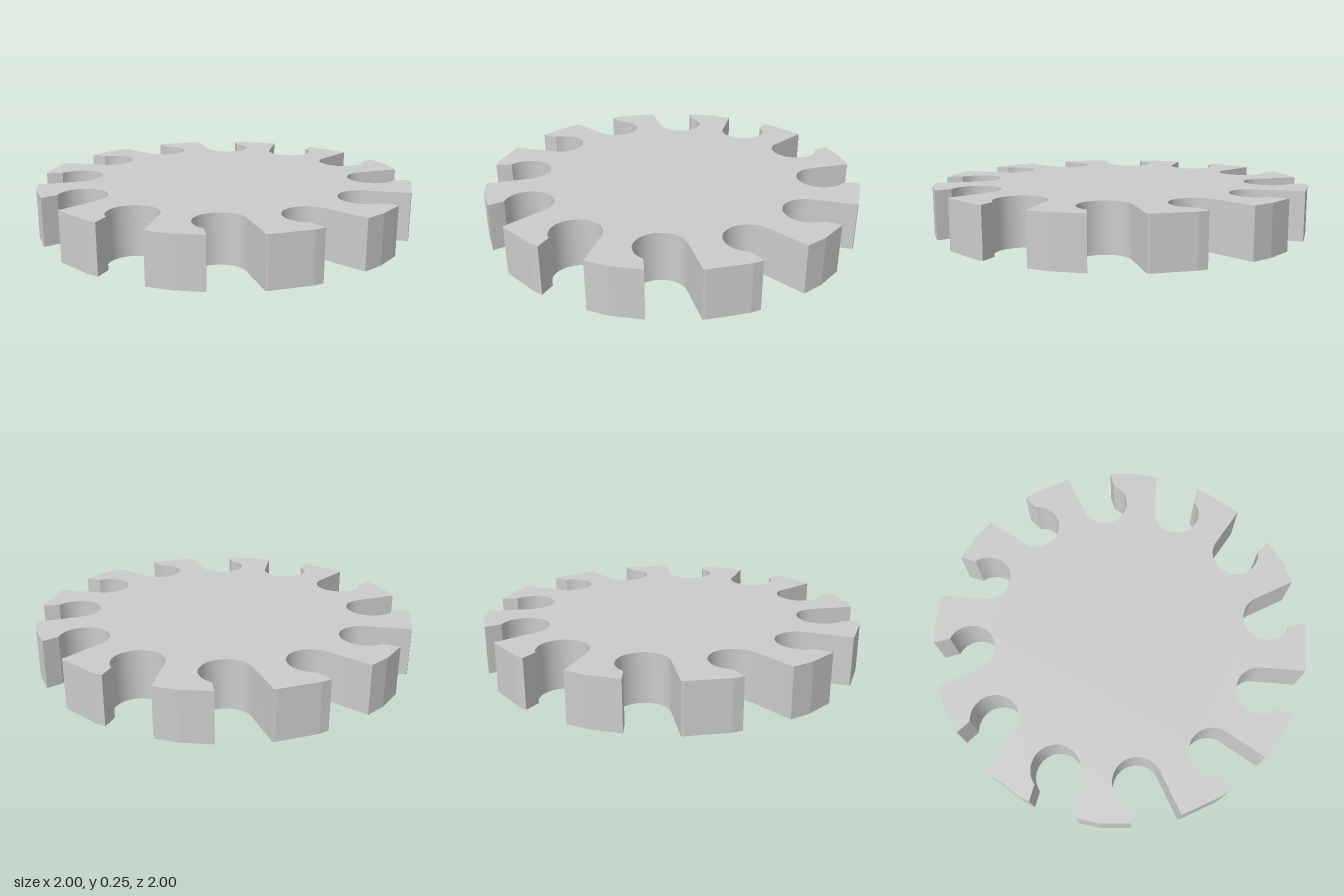
import * as THREE from 'three';
import { toCreasedNormals } from 'three/addons/utils/BufferGeometryUtils.js';

const RAD = Math.PI / 180;
const SLOTS = 12, STEP = 360 / SLOTS;
const HEIGHT = 0.255;
const SLOT_DIST = 0.803, SLOT_R = 0.127;   // round pocket of each slot
const RIM_R = 1.003, FACET = 12;           // rim is a 30-sided polygon with a corner at 6 degrees

// Point on the faceted rim, angle in degrees clockwise from the back
function rimPoint(a) {
  const fromMiddle = ((a % FACET) + FACET) % FACET - 0; // edge middles lie on multiples of 12
  const d = Math.min(fromMiddle, FACET - fromMiddle);
  const r = RIM_R * Math.cos(FACET / 2 * RAD) / Math.cos(d * RAD);
  return new THREE.Vector2(r * Math.sin(a * RAD), r * Math.cos(a * RAD));
}

export function createModel() {
  const group = new THREE.Group();
  group.name = 'slottedDisc';

  const points = [];
  const origin = new THREE.Vector2();
  for (let i = 0; i < SLOTS; i++) {
    const turn = i * STEP;

    // Slot: slanted straight flank, round pocket, short hooked lip
    points.push(rimPoint(turn - 11.3));
    const segments = 40, start = 198.4, end = 419.4;
    for (let s = 0; s <= segments; s++) {
      const t = (start + (end - start) * s / segments) * RAD;
      points.push(new THREE.Vector2(SLOT_R * Math.cos(t), SLOT_DIST + SLOT_R * Math.sin(t))
        .rotateAround(origin, -turn * RAD));
    }

    // Tooth: rim from the lip to the next slot, with the polygon corners in between
    points.push(rimPoint(turn + 3));
    for (let a = 6; a < 360 + FACET; a += FACET) {
      if (a > turn + 3.1 && a < turn + 18.6) points.push(rimPoint(a));
    }
  }

  const extruded = new THREE.ExtrudeGeometry(new THREE.Shape(points), {
    depth: HEIGHT, bevelEnabled: false,
  });
  extruded.rotateX(-Math.PI / 2);

  // Smooth pockets, sharp rim facets and edges
  const disc = new THREE.Mesh(
    toCreasedNormals(extruded, 10 * RAD),
    new THREE.MeshStandardMaterial({ color: 0xcccccc }),
  );
  disc.name = 'disc';
  group.add(disc);
  return group;
}
